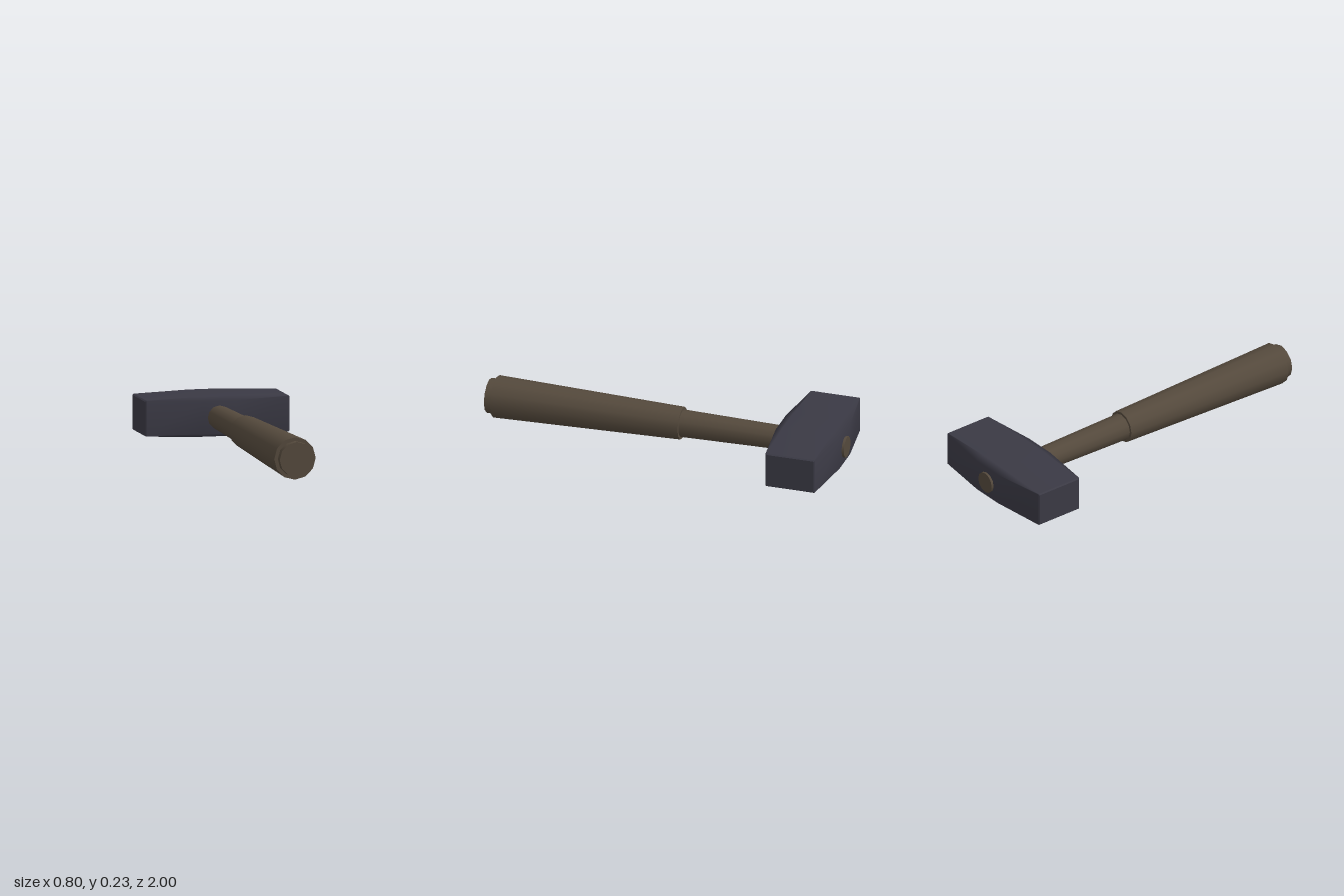
import * as THREE from 'three';

const steel = new THREE.MeshStandardMaterial({ color: 0x3a3944 });
steel.name = 'darkSteel';
const wood = new THREE.MeshStandardMaterial({ color: 0x54493c });
wood.name = 'brownWood';

const AXIS_Y = 0.115; // height of the handle's axis
const HEAD_Z = -0.808;

// Twelve-sided tapered rod lying along z, from the back end to the front end
function rod(name, zBack, rBack, zFront, rFront) {
  const geo = new THREE.CylinderGeometry(rFront, rBack, zFront - zBack, 12);
  geo.rotateX(Math.PI / 2);
  const mesh = new THREE.Mesh(geo, wood);
  mesh.name = name;
  mesh.position.set(0, AXIS_Y, (zFront + zBack) / 2);
  return mesh;
}

// Rectangle with cut corners, across the head at station x
function section([x, hy, hz, cy, cz]) {
  const y = hy - cy, z = hz - cz;
  return [[hy, z], [y, hz], [-y, hz], [-hy, z], [-hy, -z], [-y, -hz], [y, -hz], [hy, -z]]
    .map(([py, pz]) => [x, py, pz]);
}

// Skin over a row of sections, with optional flat ends
function loft(stations, capStart, capEnd) {
  const rings = stations.map(section);
  const n = 8, index = [];
  for (let i = 0; i < rings.length - 1; i++) {
    for (let j = 0; j < n; j++) {
      const a = i * n + j, b = i * n + (j + 1) % n;
      index.push(a, b, a + n, b, b + n, a + n);
    }
  }
  const last = (rings.length - 1) * n;
  for (let j = 1; j < n - 1; j++) {
    if (capStart) index.push(0, j + 1, j);
    if (capEnd) index.push(last, last + j, last + j + 1);
  }
  const geo = new THREE.BufferGeometry();
  geo.setAttribute('position', new THREE.Float32BufferAttribute(rings.flat(2), 3));
  geo.setIndex(index);
  return geo;
}

function createHead() {
  const head = new THREE.Group();
  head.name = 'head';
  head.position.set(0, AXIS_Y + 0.001, HEAD_Z);

  // Each station: x, half height, half depth, corner cut in y and in z
  const end = [0.391, 0.097, 0.138, 0.003, 0.003];
  const face = [0.398, 0.091, 0.132, 0.003, 0.003];
  const middle = [0.09, 0.108, 0.179, 0.02, 0.042];
  const mirror = ([x, ...rest]) => [-x, ...rest];

  // Bulging body, smooth all round
  const bodyGeo = loft([mirror(end), mirror(middle), middle, end], false, false);
  bodyGeo.computeVertexNormals();
  const body = new THREE.Mesh(bodyGeo, steel);
  body.name = 'headBody';
  head.add(body);

  // Flat striking faces with a narrow bevel
  const faces = [
    ['strikingFaceLeft', loft([end, face], false, true)],
    ['strikingFaceRight', loft([mirror(face), mirror(end)], true, false)],
  ];
  for (const [name, geo] of faces) {
    const flat = geo.toNonIndexed();
    flat.computeVertexNormals();
    const mesh = new THREE.Mesh(flat, steel);
    mesh.name = name;
    head.add(mesh);
  }
  return head;
}

export function createModel() {
  const model = new THREE.Group();
  model.name = 'sledgehammer';
  model.add(createHead());

  // Handle: thin shaft through the head, thick grip and a stepped butt
  const handle = new THREE.Group();
  handle.name = 'handle';
  handle.add(
    rod('shaft', -1, 0.058, -0.06, 0.074),
    rod('grip', -0.08, 0.088, 0.96, 0.114),
    rod('butt', 0.95, 0.094, 1, 0.094),
  );
  model.add(handle);
  return model;
}
